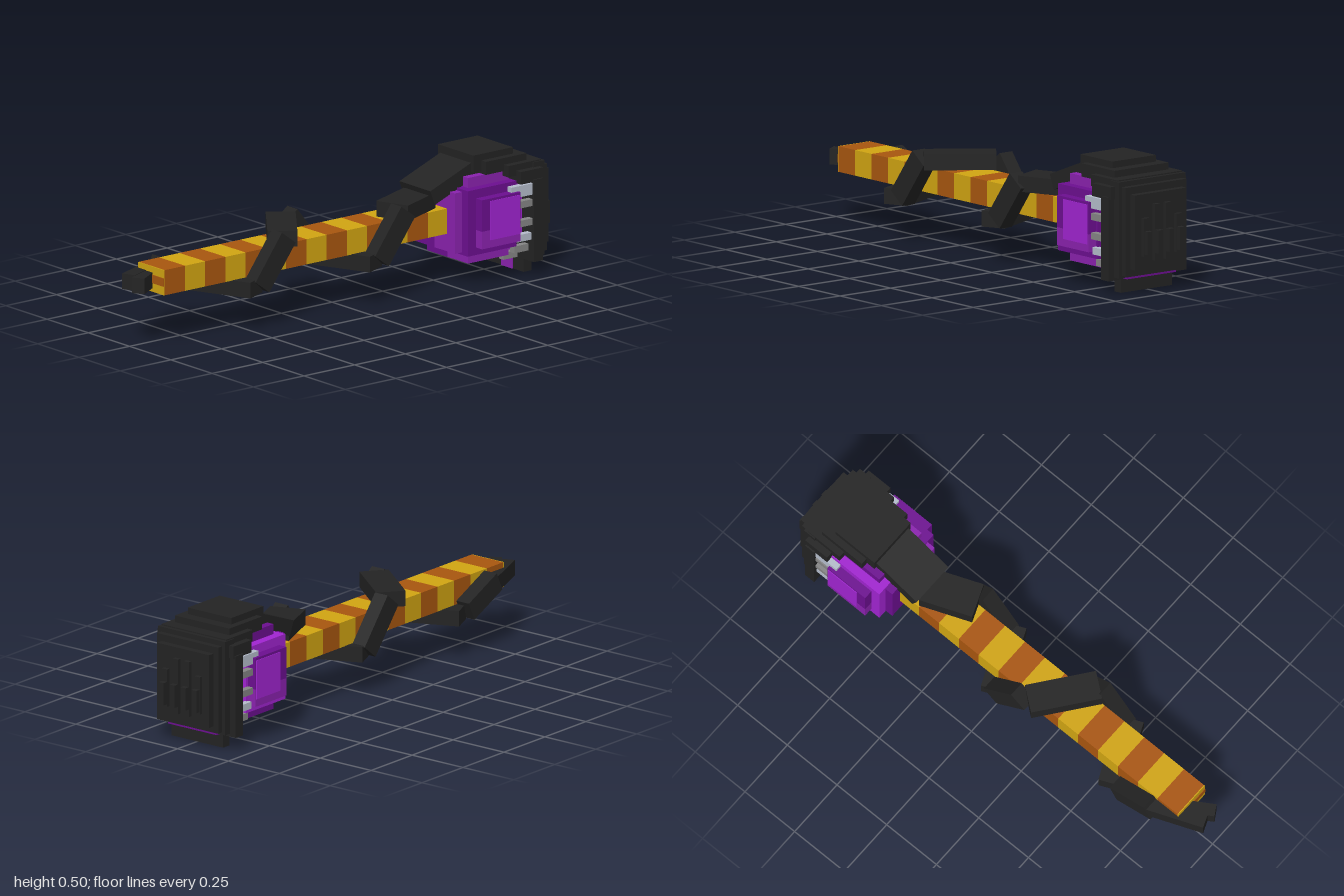
import * as THREE from 'three';

const mat = (name, color) => {
  const m = new THREE.MeshStandardMaterial({ color });
  m.name = name;
  return m;
};

export function createModel() {
  const root = new THREE.Group();
  root.name = 'stripedMace';
  const black = mat('charcoal', 0x232323);
  const yellow = mat('gold', 0xd0a412);
  const orange = mat('burntOrange', 0xa8560f);
  const dark = mat('darkPurple', 0x6c0f90);
  const mid = mat('midPurple', 0x8a22ae);
  const bright = mat('brightPurple', 0xa024d0);
  const grey = mat('grey', 0x858585);
  const pale = mat('paleGrey', 0xb4bccb);

  const group = (name) => {
    const g = new THREE.Group();
    g.name = name;
    root.add(g);
    return g;
  };
  // Box given by its limits on each axis
  const box = (parent, name, material, x0, x1, y0, y1, z0, z1) => {
    const m = new THREE.Mesh(new THREE.BoxGeometry(x1 - x0, y1 - y0, z1 - z0), material);
    m.name = name;
    m.position.set((x0 + x1) / 2, (y0 + y1) / 2, (z0 + z1) / 2);
    parent.add(m);
  };

  // Striped handle
  const handle = group('handle');
  const step = 1.4 / 14;
  for (let i = 0; i < 14; i++) {
    const z = 0.89 - i * step;
    box(handle, 'handleStripe', i % 2 ? yellow : orange, -0.078, 0.078, 0.2, 0.3, z - step, z);
  }
  box(handle, 'handleEndPlate', yellow, -0.078, 0.078, 0.2, 0.3, 0.89, 0.894);
  box(handle, 'handleEndInset', orange, -0.078, 0.078, 0.235, 0.268, 0.893, 0.897);

  // Black strap spiralling round the handle: start, end, normal, width, thickness
  const strap = group('spiralStrap');
  const X = [1, 0, 0], Y = [0, 1, 0];
  const strip = (a, b, n, width, thick = 0.062) => {
    const p = new THREE.Vector3(...a), q = new THREE.Vector3(...b);
    const d = q.clone().sub(p);
    const len = d.length();
    d.normalize();
    const side = new THREE.Vector3(...n).cross(d).normalize();
    const up = d.clone().cross(side);
    const m = new THREE.Mesh(new THREE.BoxGeometry(width, thick, len), black);
    m.name = 'strapPiece';
    m.quaternion.setFromRotationMatrix(new THREE.Matrix4().makeBasis(side, up, d));
    m.position.copy(p).add(q).multiplyScalar(0.5);
    strap.add(m);
  };
  strip([-0.03, 0.245, 0.88], [0.035, 0.245, 0.985], Y, 0.05);
  strip([-0.115, 0.247, 0.76], [-0.025, 0.247, 0.985], Y, 0.055);
  strip([-0.11, 0.18, 0.62], [-0.11, 0.26, 0.79], X, 0.08);
  strip([-0.12, 0.17, 0.59], [0.13, 0.17, 0.48], Y, 0.1);
  strip([0.112, 0.17, 0.46], [0.112, 0.345, 0.33], X, 0.085);
  strip([0.11, 0.335, 0.335], [-0.11, 0.335, 0.165], Y, 0.115);
  strip([-0.11, 0.345, 0.14], [-0.11, 0.17, 0], X, 0.085);
  strip([-0.12, 0.17, 0], [0.13, 0.17, -0.11], Y, 0.1);
  strip([0.112, 0.17, -0.13], [0.112, 0.345, -0.26], X, 0.085);
  strip([0.07, 0.335, -0.24], [-0.01, 0.335, -0.44], Y, 0.14);
  strip([0, 0.36, -0.42], [0, 0.445, -0.64], Y, 0.188);

  // Stepped purple head, coloured in blocks
  const head = group('head');
  box(head, 'frontLeftBlock', mid, 0, 0.125, 0.13, 0.37, -0.8, -0.505);
  box(head, 'frontRightBlock', dark, -0.125, 0, 0.13, 0.37, -0.8, -0.505);
  box(head, 'coreLeft', mid, 0, 0.125, 0.08, 0.42, -0.77, -0.57);
  box(head, 'coreRight', dark, -0.125, 0, 0.08, 0.42, -0.77, -0.57);
  box(head, 'innerCheekLeft', dark, 0, 0.16, 0.12, 0.38, -0.78, -0.54);
  box(head, 'innerCheekRight', bright, -0.16, 0, 0.12, 0.38, -0.78, -0.54);
  for (const s of [-1, 1]) {
    const x0 = Math.min(s * 0.155, s * 0.197), x1 = Math.max(s * 0.155, s * 0.197);
    box(head, 'cheekUpper', dark, x0, x1, 0.22, 0.345, -0.77, -0.58);
    box(head, 'cheekLower', mid, x0, x1, 0.15, 0.22, -0.77, -0.58);
    box(head, 'cheekPatch', bright, s * 0.197 - 0.003, s * 0.197 + 0.003, 0.18, 0.335, -0.765, -0.62);
  }
  box(head, 'rearCore', bright, -0.12, 0.12, 0.15, 0.38, -0.845, -0.76);

  // Teeth between head and back shell
  const teeth = group('teeth');
  for (const x of [-0.083, -0.025, 0.022, 0.08])
    box(teeth, 'lowerTooth', grey, x - 0.013, x + 0.013, 0.053, 0.08, -0.845, -0.77);
  for (const s of [-1, 1]) {
    const tooth = (name, m, x, y0, y1, z) =>
      box(teeth, name, m, s * x - 0.013, s * x + 0.013, y0, y1, -0.845, z);
    tooth('cornerTooth', grey, 0.147, 0.093, 0.12, -0.77);
    tooth('sideTooth', pale, 0.165, 0.14, 0.168, -0.77);
    tooth('sideTooth', grey, 0.172, 0.2, 0.226, -0.77);
    tooth('sideTooth', grey, 0.172, 0.275, 0.302, -0.77);
    tooth('sideTooth', pale, 0.172, 0.32, 0.365, -0.735);
  }

  // Black shell: half width, y range, z range
  const shell = group('backShell');
  const plates = [
    [0.107, 0.43, 0.498, -0.805, -0.61],
    [0.134, 0.42, 0.472, -0.85, -0.65],
    [0.16, 0.4, 0.445, -0.9, -0.74],
    [0.187, 0.37, 0.42, -0.89, -0.78],
    [0.193, 0.053, 0.38, -0.885, -0.84],
    [0.127, 0, 0.06, -0.88, -0.842],
    [0.165, 0.065, 0.44, -0.915, -0.86],
    [0.15, 0.075, 0.42, -0.938, -0.9],
    [0.127, 0.1, 0.392, -0.965, -0.92],
  ];
  for (const [w, y0, y1, z0, z1] of plates) box(shell, 'shellPlate', black, -w, w, y0, y1, z0, z1);
  [-0.08, -0.027, 0.027, 0.08].forEach((x, i) => {
    const inner = i === 1 || i === 2;
    box(shell, 'shellRib', black, x - 0.013, x + 0.013, inner ? 0.13 : 0.15, inner ? 0.35 : 0.3, -0.98, -0.95);
    box(shell, 'ribTip', black, x - 0.012, x + 0.012, 0.16, 0.25, -1, -0.97);
  });
  box(shell, 'chinPlate', mid, -0.005, 0.063, 0, 0.08, -0.843, -0.838);
  box(shell, 'chinUnderside', dark, -0.12, 0.12, 0.056, 0.064, -0.91, -0.88);

  return root;
}
